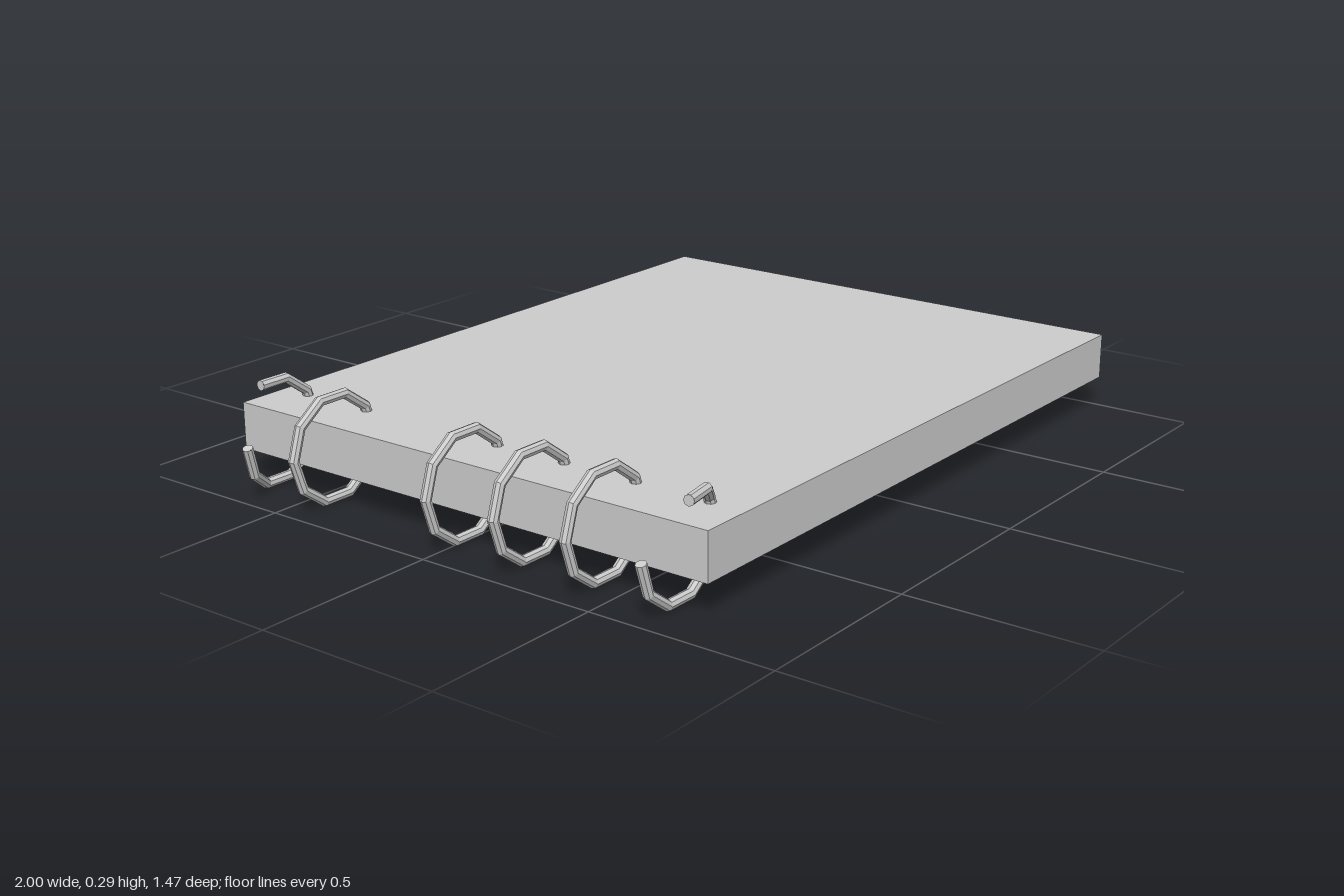
import * as THREE from 'three';

const RING = { x: -0.849, y: 0.145, radius: 0.137, wire: 0.014, sides: 10, wireSides: 8 };

// Polyline that TubeGeometry samples exactly at its corners
class PolylineCurve extends THREE.Curve {
  constructor(points) {
    super();
    this.points = points;
  }
  getPointAt(u, target = new THREE.Vector3()) {
    const f = u * (this.points.length - 1);
    const i = Math.min(Math.floor(f + 1e-6), this.points.length - 2);
    return target.lerpVectors(this.points[i], this.points[i + 1], f - i);
  }
  getTangentAt(u, target = new THREE.Vector3()) {
    const last = this.points.length - 1;
    const i = Math.round(u * last);
    const here = this.points[i];
    target.set(0, 0, 0);
    if (i > 0) target.add(here.clone().sub(this.points[i - 1]).normalize());
    if (i < last) target.add(this.points[i + 1].clone().sub(here).normalize());
    return target.normalize();
  }
}

export function createModel() {
  const model = new THREE.Group();
  const paper = new THREE.MeshStandardMaterial({ color: 0xcccccc });
  const wire = new THREE.MeshStandardMaterial({ color: 0xcccccc, flatShading: true });

  function add(parent, name, geometry, material) {
    const mesh = new THREE.Mesh(geometry, material);
    mesh.name = name;
    parent.add(mesh);
    return mesh;
  }

  // Page block with the cover sheet on top
  const slab = (name, y0, y1) => {
    const mesh = add(model, name, new THREE.BoxGeometry(1.87, y1 - y0, 1.47), paper);
    mesh.position.set(0.06, (y0 + y1) / 2, 0);
  };
  slab('pageBlock', 0.085, 0.186);
  slab('cover', 0.186, 0.21);

  // Whole binding rings, with one missing along the row
  for (const z of [0.425, 0.212, 0.003, -0.437]) {
    const ring = add(model, 'bindingRing',
      new THREE.TorusGeometry(RING.radius, RING.wire, RING.wireSides, RING.sides), wire);
    ring.position.set(RING.x, RING.y, z);
  }

  // Opened ring: each entry is [angle in degrees, z]
  function bentWire(name, stations) {
    const group = new THREE.Group();
    group.name = name;
    model.add(group);
    const points = stations.map(([deg, z]) => {
      const a = THREE.MathUtils.degToRad(deg);
      return new THREE.Vector3(
        RING.x + RING.radius * Math.cos(a), RING.y + RING.radius * Math.sin(a), z);
    });
    const curve = new PolylineCurve(points);
    add(group, 'wire', new THREE.TubeGeometry(
      curve, points.length - 1, RING.wire, RING.wireSides), wire);
    // Flat wire ends
    for (const u of [0, 1]) {
      const end = curve.getPointAt(u);
      const outward = curve.getTangentAt(u).multiplyScalar(u ? 1 : -1);
      const cap = add(group, 'wireEnd', new THREE.CircleGeometry(RING.wire, RING.wireSides), wire);
      cap.position.copy(end);
      cap.lookAt(end.clone().add(outward));
    }
  }

  // Front ring: sprung open, its upper end pulled forwards
  bentWire('frontOpenRing', [
    [180, 0.637], [216, 0.637], [252, 0.637], [288, 0.637], [324, 0.637],
    [360, 0.637], [396, 0.637], [432, 0.68], [468, 0.695],
  ]);

  // Back ring: sprung open, its lower end pulled forwards
  bentWire('backOpenRing', [
    [180, -0.602], [216, -0.612], [252, -0.647], [288, -0.647], [324, -0.647],
    [360, -0.647], [396, -0.647], [432, -0.647], [468, -0.647],
  ]);

  return model;
}
